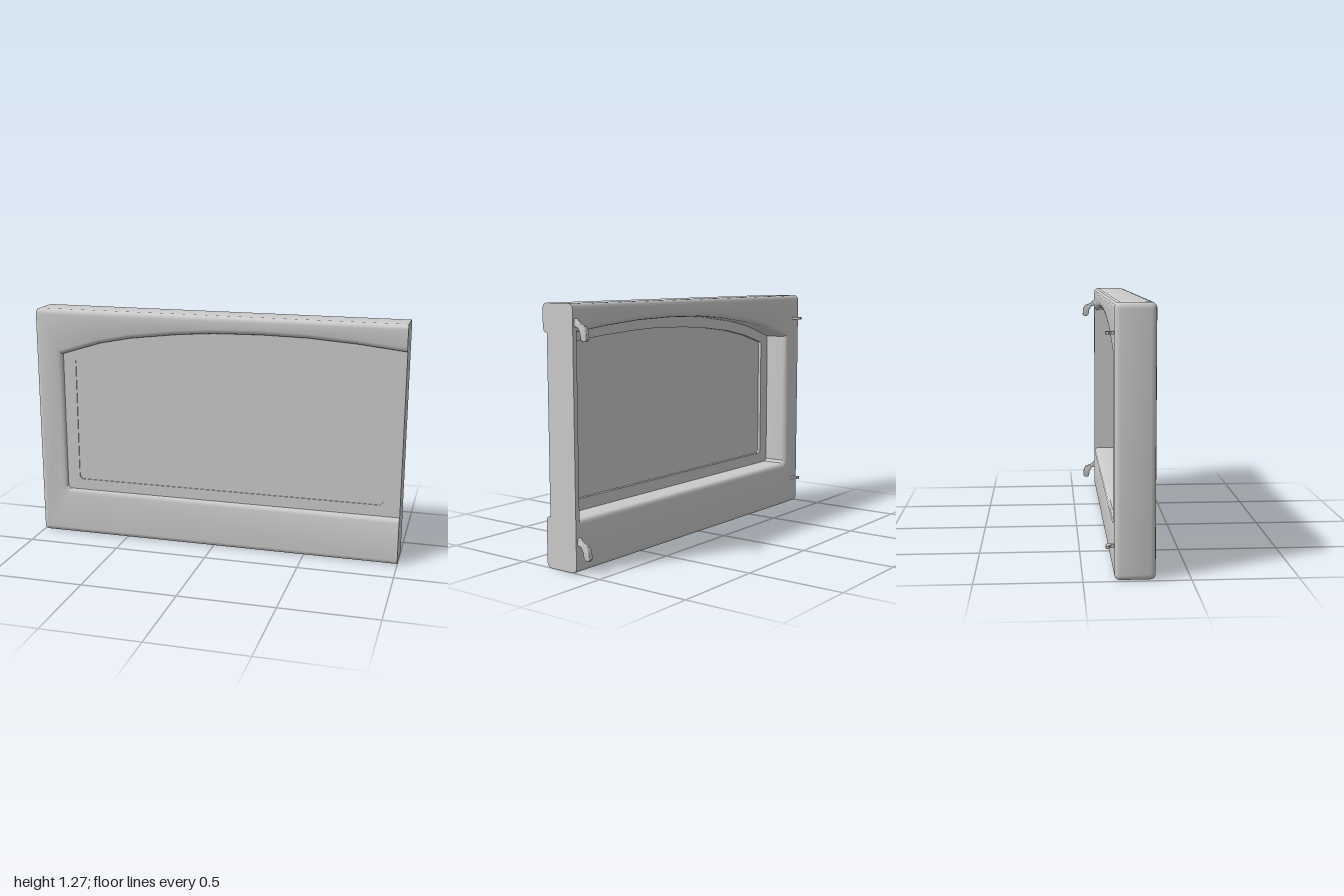
import * as THREE from 'three';
import { toCreasedNormals } from 'three/addons/utils/BufferGeometryUtils.js';

const material = new THREE.MeshStandardMaterial({ color: 0xcccccc });

// Arched edges, from the outer side to the hinge side
const frameArch = [[-0.85, 1.195], [-0.63, 1.264], [-0.46, 1.298], [-0.2, 1.33], [0, 1.345],
  [0.25, 1.35], [0.5, 1.345], [0.75, 1.327], [1, 1.3]];
const windowArch = [[-0.78, 1.16], [-0.6, 1.212], [-0.42, 1.247], [-0.2, 1.272], [0, 1.285],
  [0.25, 1.29], [0.4, 1.286], [0.65, 1.271], [0.895, 1.249], [0.91, 1.235]];

const toShape = (points) => new THREE.Shape(points.map(([x, y]) => new THREE.Vector2(x, y)));

function extrude(shape, depth, bevel = 0) {
  return new THREE.ExtrudeGeometry(shape, {
    depth: depth - 2 * bevel, bevelEnabled: bevel > 0, bevelSize: bevel,
    bevelThickness: bevel, bevelOffset: -bevel, bevelSegments: 3, curveSegments: 6,
  });
}

export function createModel() {
  const group = new THREE.Group();
  const add = (name, geometry, x = 0, y = 0, z = 0) => {
    const mesh = new THREE.Mesh(geometry, material);
    mesh.name = name;
    mesh.position.set(x, y, z);
    group.add(mesh);
  };

  // Bevelled frame around the arched opening, cut off flat at the hinge end
  const left = -1, bottom = 0.17, top = 1.44, r = 0.03, bevel = 0.025, over = 1.1;
  const frame = new THREE.Shape();
  frame.moveTo(over, bottom);
  frame.lineTo(left + r, bottom);
  frame.quadraticCurveTo(left, bottom, left, bottom + r);
  frame.lineTo(left, top - r);
  frame.quadraticCurveTo(left, top, left + r, top);
  frame.lineTo(over, top);
  frame.lineTo(over, 1.3);
  for (const [x, y] of [...frameArch].reverse()) frame.lineTo(x, y);
  frame.lineTo(-0.85, 0.44);
  frame.lineTo(-0.835, 0.425);
  frame.lineTo(over, 0.425);
  frame.closePath();
  const frameGeometry = extrude(frame, 0.19, bevel);
  const position = frameGeometry.attributes.position;
  for (let i = 0; i < position.count; i++) position.setX(i, Math.min(1, position.getX(i)));
  add('frame', toCreasedNormals(frameGeometry, 0.7), 0, 0, 0.145 + bevel);

  // Thin wall closing the hinge end
  const wall = new THREE.BoxGeometry(0.025, 0.93, 0.163);
  add('hingeEndWall', wall, 0.9875, 0.865, 0.2265);

  // Inner flange with the window cut out of it
  const flange = toShape([[-0.87, 0.415], [1, 0.415], ...[...frameArch].reverse().map(([x, y]) => [x, y + 0.005]), [-0.87, 1.19]]);
  const opening = [...windowArch, [0.91, 0.5], [0.895, 0.485], [-0.765, 0.485], [-0.78, 0.5]];
  flange.holes.push(toShape(opening));
  add('windowFlange', extrude(flange, 0.03), 0, 0, 0.28);

  // Window pane set slightly below the flange
  add('windowPane', extrude(toShape(opening), 0.008), 0, 0, 0.297);

  // Hinge hooks, drawn in side profile as [z, y]
  const hook = toShape([[0.15, 0.107], [0.145, 0.105], [0.12, 0.082], [0.088, 0.071], [0.075, 0.05],
    [0.072, 0.012], [0.082, 0.001], [0.098, 0.001], [0.108, 0.012], [0.112, 0.04],
    [0.125, 0.062], [0.15, 0.07]].map(([z, y]) => [-z, y]));
  // Latch claws, drawn in plan as [x, z]
  const claw = toShape([[-0.92, 0.15], [-0.92, 0.13], [-0.93, 0.113], [-0.947, 0.105], [-0.963, 0.108],
    [-0.965, 0.12], [-0.95, 0.126], [-0.945, 0.135], [-0.945, 0.15]].map(([x, z]) => [x, -z]));
  for (const [side, y] of [['lower', 0.235], ['upper', 1.265]]) {
    add(side + 'HingeHook', toCreasedNormals(extrude(hook, 0.025, 0.004).rotateY(Math.PI / 2), 0.6), 0.969, y, 0);
    add(side + 'LatchClaw', extrude(claw, 0.014).rotateX(-Math.PI / 2), 0, y + 0.03 + (side === 'lower' ? 0.05 : 0), 0);
  }
  return group;
}
